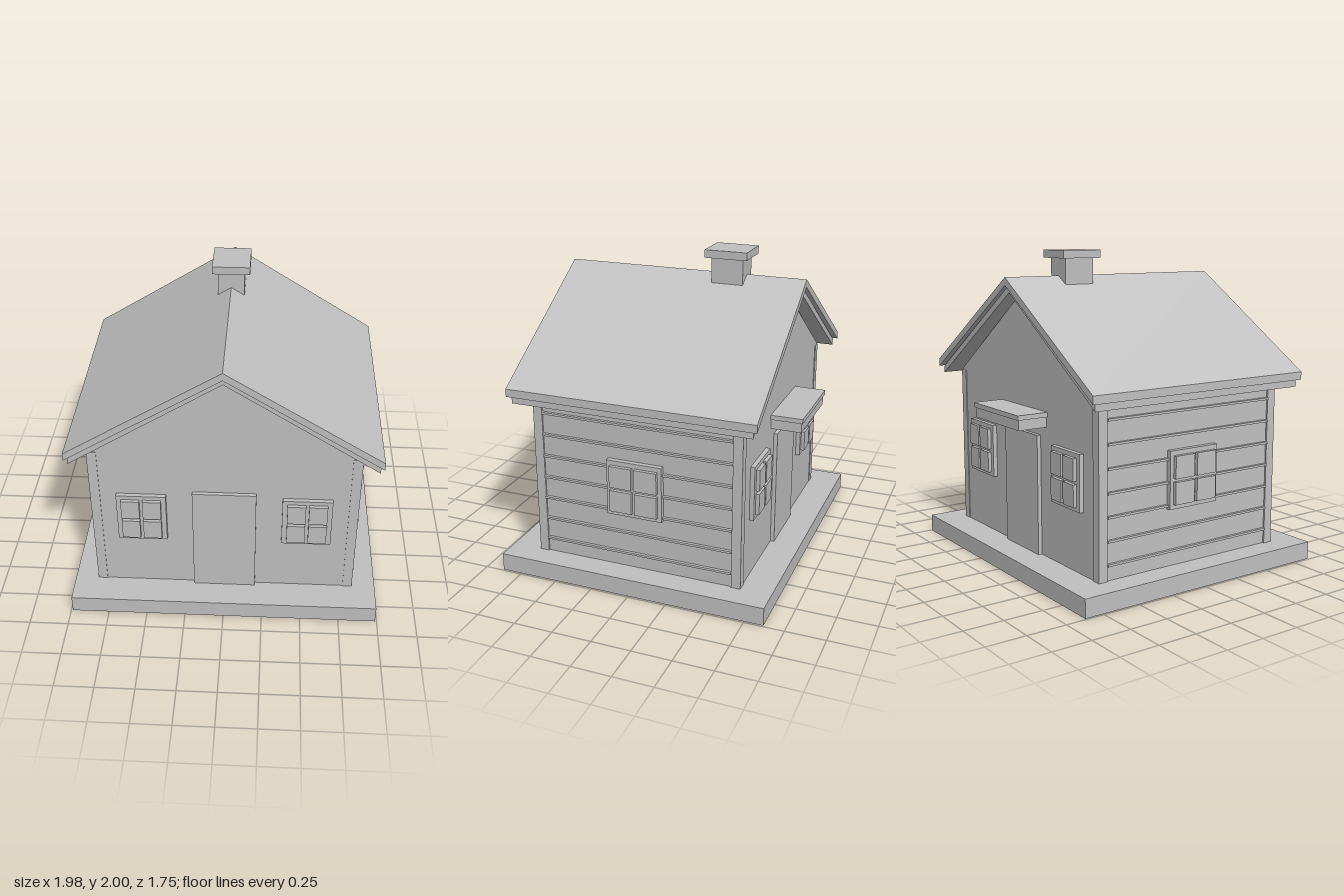
import * as THREE from 'three';

const plaster = new THREE.MeshStandardMaterial({ color: 0xc0c0c0 });
plaster.name = 'pale grey';

// Box given by its limits on each axis
function block(parent, name, [x0, x1], [y0, y1], [z0, z1]) {
  const mesh = new THREE.Mesh(new THREE.BoxGeometry(x1 - x0, y1 - y0, z1 - z0), plaster);
  mesh.position.set((x0 + x1) / 2, (y0 + y1) / 2, (z0 + z1) / 2);
  mesh.name = name;
  parent.add(mesh);
  return mesh;
}

// Outline in x and y, extruded along z and centred on z = 0
function prism(parent, name, points, depth) {
  const shape = new THREE.Shape(points.map(([x, y]) => new THREE.Vector2(x, y)));
  const geometry = new THREE.ExtrudeGeometry(shape, { depth, bevelEnabled: false });
  geometry.translate(0, 0, -depth / 2);
  const mesh = new THREE.Mesh(geometry, plaster);
  mesh.name = name;
  parent.add(mesh);
  return mesh;
}

// Chevron-shaped roof layer
function roofLayer(parent, name, halfWidth, ridge, eave, thickness, depth) {
  prism(parent, name, [
    [-halfWidth, eave], [-halfWidth, eave - thickness], [0, ridge - thickness],
    [halfWidth, eave - thickness], [halfWidth, eave], [0, ridge],
  ], depth);
}

// Window facing +z: backing frame with four raised panes
function makeWindow(name, width, height, innerWidth, innerHeight) {
  const group = new THREE.Group();
  group.name = name;
  block(group, 'windowFrame', [-width / 2, width / 2], [-height / 2, height / 2], [-0.01, 0.025]);
  const gap = 0.01;
  for (const sx of [-1, 1]) for (const sy of [-1, 1]) {
    const xs = [sx * gap, sx * innerWidth / 2].sort((a, b) => a - b);
    const ys = [sy * gap, sy * innerHeight / 2].sort((a, b) => a - b);
    block(group, 'windowPane', xs, ys, [0.02, 0.048]);
  }
  return group;
}

export function createModel() {
  const model = new THREE.Group();
  model.name = 'cottage';
  const house = new THREE.Group();
  house.name = 'house';
  house.position.z = 0.005;
  model.add(house);

  // Base slab and gabled walls
  block(house, 'baseSlab', [-0.99, 0.99], [0, 0.115], [-0.875, 0.875]);
  prism(house, 'walls', [
    [-0.83, 0.11], [0.83, 0.11], [0.83, 1.18], [0, 1.75], [-0.83, 1.18],
  ], 1.35);

  // Two roof layers
  roofLayer(house, 'roofTop', 0.955, 1.84, 1.24, 0.05, 1.59);
  roofLayer(house, 'roofUnderlay', 0.935, 1.79, 1.19, 0.045, 1.535);

  // Chimney
  block(house, 'chimney', [-0.085, 0.085], [1.7, 1.95], [-0.41, -0.205]);
  block(house, 'chimneyCap', [-0.12, 0.12], [1.95, 2], [-0.445, -0.17]);

  for (const side of [-1, 1]) {
    // Corner posts
    for (const end of [-1, 1]) {
      const xs = side > 0 ? [0.78, 0.84] : [-0.84, -0.78];
      const zs = end > 0 ? [0.62, 0.68] : [-0.68, -0.62];
      block(house, 'cornerPost', xs, [0.115, 1.17], zs);
    }

    // Siding strips
    for (let i = 0; i < 7; i++) {
      const y = 0.212 + i * 0.143;
      block(house, 'sidingStrip', side > 0 ? [0.82, 0.849] : [-0.849, -0.82],
        [y - 0.007, y + 0.007], [-0.62, 0.62]);
    }

    // Side window
    const sideWindow = makeWindow('sideWindow', 0.36, 0.36, 0.31, 0.3);
    sideWindow.position.set(side * 0.837, 0.656, 0);
    sideWindow.rotation.y = side * Math.PI / 2;
    house.add(sideWindow);

    // Door and windows of the front and back walls
    const wall = new THREE.Group();
    wall.name = side > 0 ? 'frontWallDetails' : 'backWallDetails';
    wall.rotation.y = side > 0 ? 0 : Math.PI;
    block(wall, 'door', [-0.2, 0.2], [0.115, 0.88], [0.66, 0.7]);
    for (const x of [-0.52, 0.52]) {
      const endWindow = makeWindow('endWindow', 0.312, 0.35, 0.25, 0.295);
      endWindow.position.set(x, 0.675, 0.678);
      wall.add(endWindow);
    }
    house.add(wall);
  }

  // Canopy above the back door
  block(house, 'canopySupport', [-0.27, 0.27], [0.94, 1.005], [-0.87, -0.67]);
  block(house, 'canopyTop', [-0.283, 0.283], [1.005, 1.035], [-0.88, -0.67]);

  return model;
}
